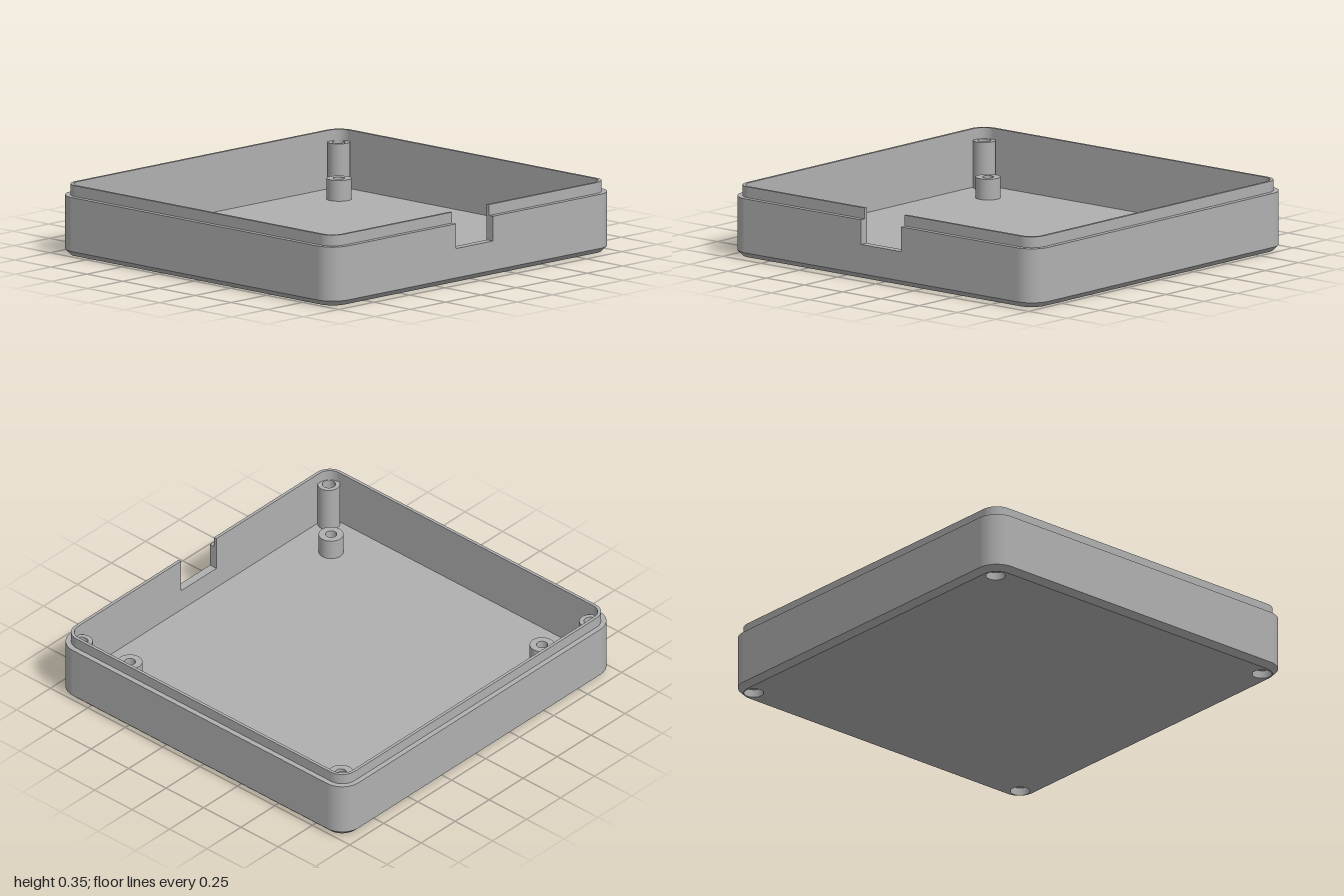
import * as THREE from 'three';
import { mergeGeometries } from 'three/addons/utils/BufferGeometryUtils.js';

const W = 1, D = 0.96, R = 0.11;                  // half width, half depth, corner radius
const RIM = 0.3, TOP = 0.355, FLOOR = 0.06, BEVEL = 0.027;
const LIP = R - 0.027, INNER = R - 0.043;         // corner radii of lip and inner wall
const NOTCH = 0.13, SILL = 0.175;
const BOLT = { x: 0.91, z: 0.874, hole: 0.033, bore: 0.049 };

// A loop is a list of points with a centre and an outward direction
function arc(cx, cz, from, to, steps) {
  return Array.from({ length: steps + 1 }, (_, i) => {
    const a = from + (to - from) * i / steps;
    return { cx, cz, dx: Math.cos(a), dz: Math.sin(a) };
  });
}

// Rounded rectangle, starting and ending at the notch in the front wall
function caseLoop() {
  const x = W - R, z = D - R, q = Math.PI / 2;
  return [
    { cx: -NOTCH, cz: z, dx: 0, dz: 1 },
    ...arc(-x, z, q, 2 * q, 12), ...arc(-x, -z, 2 * q, 3 * q, 12),
    ...arc(x, -z, 3 * q, 4 * q, 12), ...arc(x, z, 0, q, 12),
    { cx: NOTCH, cz: z, dx: 0, dz: 1 },
  ];
}

// Sweep a profile of [outward offset, y] round a loop, with sharp profile edges
function sweep(loop, profile) {
  const pos = [], nor = [], idx = [];
  for (let k = 0; k + 1 < profile.length; k++) {
    const [o0, y0] = profile[k], [o1, y1] = profile[k + 1];
    const len = Math.hypot(o1 - o0, y1 - y0);
    const nOut = (y1 - y0) / len, nUp = (o0 - o1) / len;
    const base = pos.length / 3;
    loop.forEach((p, j) => {
      for (const [o, y] of [[o0, y0], [o1, y1]]) {
        pos.push(p.cx + p.dx * o, y, p.cz + p.dz * o);
        nor.push(p.dx * nOut, nUp, p.dz * nOut);
      }
      if (j + 1 < loop.length) {
        const a = base + j * 2;
        idx.push(a, a + 1, a + 2, a + 1, a + 3, a + 2);
      }
    });
  }
  const g = new THREE.BufferGeometry();
  g.setAttribute('position', new THREE.Float32BufferAttribute(pos, 3));
  g.setAttribute('normal', new THREE.Float32BufferAttribute(nor, 3));
  g.setIndex(idx);
  return g;
}

// Flat rounded plate with four bolt holes, facing up (1) or down (-1)
function plate(offset, y, hole, facing) {
  const pts = caseLoop().map(p => new THREE.Vector2(p.cx + p.dx * offset, p.cz + p.dz * offset));
  const shape = new THREE.Shape(pts);
  for (const sx of [-1, 1]) for (const sz of [-1, 1]) {
    const h = new THREE.Path();
    h.absarc(sx * BOLT.x, sz * BOLT.z, hole, 0, Math.PI * 2, true);
    shape.holes.push(h);
  }
  return new THREE.ShapeGeometry(shape, 16).rotateX(-facing * Math.PI / 2).translate(0, y, 0);
}

export function createModel() {
  const model = new THREE.Group();
  model.name = 'enclosureBase';
  const grey = new THREE.MeshStandardMaterial({ color: 0xb0b0b0, side: THREE.DoubleSide });
  grey.name = 'grey plastic';
  const add = (name, geometry, x = 0, z = 0) => {
    const mesh = new THREE.Mesh(geometry, grey);
    mesh.name = name;
    mesh.position.set(x, 0, z);
    model.add(mesh);
  };

  // Walls below the notch run all the way round, above it they stop at the notch
  const open = caseLoop(), closed = [...open, open[0]];
  const upper = [[R, SILL], [R, RIM], [LIP, RIM], [LIP, TOP], [INNER, TOP], [INNER, SILL]];
  add('lowerWall', mergeGeometries([
    sweep(closed, [[R - BEVEL, 0], [R, BEVEL], [R, SILL]]),
    sweep(closed, [[INNER, SILL], [INNER, FLOOR]]),
  ]));
  add('upperWall', sweep(open, upper));

  // Notch sides and sill
  for (const s of [-1, 1]) {
    const pts = upper.map(([o, y]) => new THREE.Vector2(-s * (D - R + o), y));
    const side = new THREE.ShapeGeometry(new THREE.Shape(pts));
    add(s > 0 ? 'notchRightSide' : 'notchLeftSide', side.rotateY(s * Math.PI / 2), -s * NOTCH);
  }
  const sill = new THREE.PlaneGeometry(2 * NOTCH, R - INNER).rotateX(-Math.PI / 2);
  add('notchSill', sill.translate(0, SILL, D - (R - INNER) / 2));

  // Floor and underside
  add('floor', plate(INNER, FLOOR, BOLT.hole, 1));
  add('underside', plate(R - BEVEL, 0, BOLT.bore, -1));

  // Corner bolt posts with counterbored holes, and shorter board standoffs
  const circle = arc(0, 0, 0, Math.PI * 2, 32);
  const post = sweep(circle, [[0.056, FLOOR], [0.056, RIM - 0.001], [BOLT.hole, RIM - 0.001],
    [BOLT.hole, 0.04], [BOLT.bore, 0.04], [BOLT.bore, 0]]);
  const standoff = sweep(circle, [[0.062, FLOOR], [0.062, 0.165], [0.028, 0.165], [0.028, FLOOR]]);
  for (const sx of [-1, 1]) for (const sz of [-1, 1]) {
    add('boltPost', post, sx * BOLT.x, sz * BOLT.z);
    add('boardStandoff', standoff, sx * 0.74, sz * 0.705);
  }
  return model;
}
